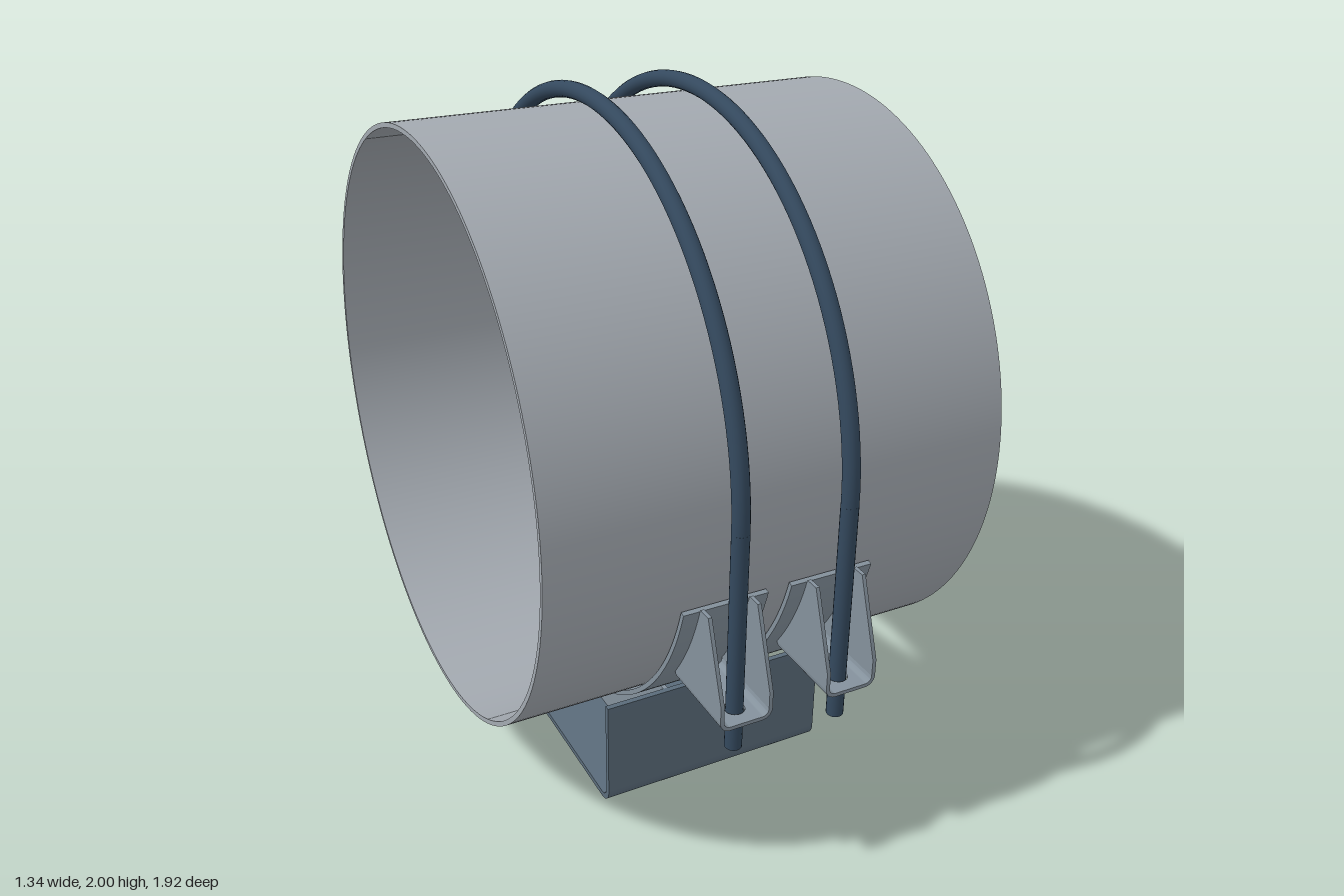
import * as THREE from 'three';
import { mergeGeometries, toCreasedNormals } from 'three/addons/utils/BufferGeometryUtils.js';

const AXIS_Y = 1.08; // height of the pipe axis
const ROD_X = 0.16;
const STRAP_OUT = 0.873;

const material = (color) => new THREE.MeshStandardMaterial({ color });
const pipeGrey = material(0xa3a9b0);
const rodBlue = material(0x34495e);
const cradleBlue = material(0x5a6b7a);
const plateGrey = material(0x84919c);

function extrude(shape, depth, segments = 12) {
  const geo = new THREE.ExtrudeGeometry(shape, { depth, bevelEnabled: false, curveSegments: segments });
  return geo.translate(0, 0, -depth / 2);
}

// Side profile drawn as (z, y), given thickness along x and centred on x
function sideProfile(shape, width, x = 0, segments = 12) {
  return toCreasedNormals(extrude(shape, width, segments).rotateY(-Math.PI / 2).translate(x, 0, 0), 0.5);
}

function add(parent, name, geometry, mat) {
  const mesh = new THREE.Mesh(geometry, mat);
  mesh.name = name;
  parent.add(mesh);
  return mesh;
}

// Rounded U section: half width w, floor at y0, top at y1, wall t, outer corner r
function uShape(w, y0, y1, t, r) {
  const s = new THREE.Shape();
  s.moveTo(-w, y1);
  s.lineTo(-w, y0 + r);
  s.absarc(-w + r, y0 + r, r, Math.PI, Math.PI * 1.5, false);
  s.lineTo(w - r, y0);
  s.absarc(w - r, y0 + r, r, -Math.PI / 2, 0, false);
  s.lineTo(w, y1);
  s.lineTo(w - t, y1);
  s.lineTo(w - t, y0 + r);
  s.absarc(w - r, y0 + r, r - t, 0, -Math.PI / 2, true);
  s.lineTo(-w + r, y0 + t);
  s.absarc(-w + r, y0 + r, r - t, Math.PI * 1.5, Math.PI, true);
  s.lineTo(-w + t, y1);
  return s;
}

function pipeGeometry() {
  const s = new THREE.Shape().absarc(0, AXIS_Y, 0.855, 0, Math.PI * 2, false);
  s.holes.push(new THREE.Path().absarc(0, AXIS_Y, 0.841, 0, Math.PI * 2, true));
  return sideProfile(s, 1.34, 0, 96);
}

function strapGeometry() {
  const a = Math.asin(0.24 / STRAP_OUT);
  const s = new THREE.Shape();
  s.absarc(0, AXIS_Y, STRAP_OUT, Math.PI + a, Math.PI * 2 - a, false);
  s.absarc(0, AXIS_Y, 0.859, Math.PI * 2 - a, Math.PI + a, true);
  return sideProfile(s, 0.25, 0, 64);
}

// Half hoop with two straight legs
function rodGeometry() {
  const R = 0.896, r = 0.024, end = 0.43, len = AXIS_Y - end;
  const parts = [new THREE.TorusGeometry(R, r, 16, 72, Math.PI).rotateY(-Math.PI / 2).translate(0, AXIS_Y, 0)];
  for (const side of [-1, 1]) {
    parts.push(new THREE.CylinderGeometry(r, r, len, 20).translate(0, end + len / 2, side * R));
  }
  return mergeGeometries(parts);
}

// Saddle rib: arc on top, clipped lower corners
function ribGeometry(x) {
  const y1 = 0.35, w = 0.503, y0 = 0.018, c = 0.035;
  const a = Math.asin((AXIS_Y - y1) / STRAP_OUT);
  const s = new THREE.Shape();
  s.moveTo(-w, y1);
  s.lineTo(-w, y0 + c);
  s.lineTo(-w + c, y0);
  s.lineTo(w - c, y0);
  s.lineTo(w, y0 + c);
  s.lineTo(w, y1);
  s.absarc(0, AXIS_Y, STRAP_OUT, -a, -Math.PI + a, true);
  return sideProfile(s, 0.014, x, 40);
}

// Folded lug: two tapered cheeks, rounded folds and a drilled floor
function lugGeometry() {
  const w = 0.0775, t = 0.011, r = 0.03, y0 = 0.54, z0 = 0.71, z1 = 0.96, zm = (z0 + z1) / 2;
  const parts = [];
  const cheek = new THREE.Shape();
  const yb = y0 + r;
  cheek.moveTo(z1, yb);
  cheek.lineTo(z1, 0.62);
  cheek.lineTo(0.882, 0.845);
  cheek.absarc(0, AXIS_Y, STRAP_OUT, -Math.asin((AXIS_Y - 0.845) / STRAP_OUT),
    -Math.asin((AXIS_Y - yb) / STRAP_OUT), true);
  for (const side of [-1, 1]) {
    parts.push(sideProfile(cheek, t, side * (w - t / 2)));
    const fold = new THREE.Shape();
    fold.absarc(0, 0, r, -Math.PI / 2, 0, false);
    fold.absarc(0, 0, r - t, 0, -Math.PI / 2, true);
    const foldGeo = extrude(fold, z1 - z0, 8);
    if (side < 0) foldGeo.rotateZ(-Math.PI / 2);
    parts.push(toCreasedNormals(foldGeo.translate(side * (w - r), yb, zm), 0.5));
  }
  const f = w - r;
  const floor = new THREE.Shape();
  floor.moveTo(-f, -z1);
  floor.lineTo(f, -z1);
  floor.lineTo(f, -z0);
  floor.lineTo(-f, -z0);
  floor.holes.push(new THREE.Path().absarc(0, -0.896, 0.028, 0, Math.PI * 2, true));
  parts.push(toCreasedNormals(extrude(floor, t).rotateX(-Math.PI / 2).translate(0, y0 + t / 2, 0), 0.5));
  return mergeGeometries(parts);
}

export function createModel() {
  const model = new THREE.Group();
  model.name = 'pipeSupport';

  add(model, 'pipe', pipeGeometry(), pipeGrey);

  // Base channel with its two saddle ribs
  const cradle = new THREE.Group();
  cradle.name = 'cradle';
  model.add(cradle);
  add(cradle, 'channel', sideProfile(uShape(0.52, 0, 0.35, 0.017, 0.05), 0.705), cradleBlue);
  for (const x of [-ROD_X, ROD_X]) add(cradle, 'saddleRib', ribGeometry(x), plateGrey);

  // Two clamps, each with a hoop rod, a strap and a lug at both ends
  const strap = strapGeometry(), rod = rodGeometry(), lug = lugGeometry();
  for (const x of [-ROD_X, ROD_X]) {
    const clamp = new THREE.Group();
    clamp.name = x < 0 ? 'rightClamp' : 'leftClamp';
    clamp.position.x = x;
    model.add(clamp);
    add(clamp, 'hoopRod', rod, rodBlue);
    add(clamp, 'strap', strap, plateGrey);
    add(clamp, 'frontLug', lug, plateGrey);
    add(clamp, 'backLug', lug, plateGrey).rotation.y = Math.PI;
  }
  return model;
}
